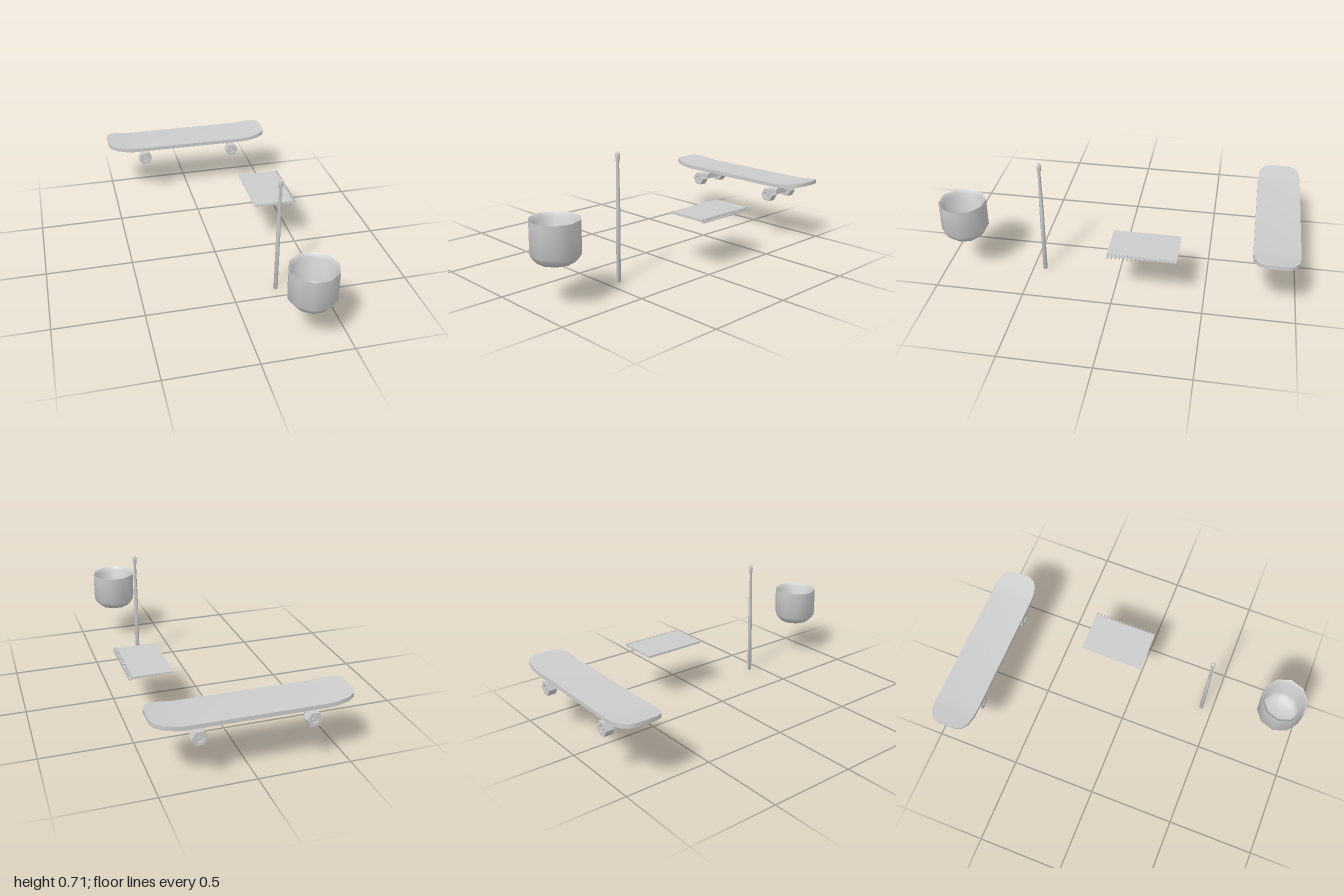
import * as THREE from 'three';
import { toCreasedNormals } from 'three/addons/utils/BufferGeometryUtils.js';

const material = new THREE.MeshStandardMaterial({ color: 0xcccccc, side: THREE.DoubleSide });

function add(parent, name, geometry, x = 0, y = 0, z = 0) {
  const mesh = new THREE.Mesh(geometry, material);
  mesh.name = name;
  mesh.position.set(x, y, z);
  parent.add(mesh);
  return mesh;
}

function group(parent, name, x = 0, y = 0, z = 0) {
  const g = new THREE.Group();
  g.name = name;
  g.position.set(x, y, z);
  parent.add(g);
  return g;
}

// Turned solid with a corner of the polygon on the x axis
function lathe(profile, sides, crease) {
  const points = profile.map(([r, y]) => new THREE.Vector2(r, y));
  return toCreasedNormals(new THREE.LatheGeometry(points, sides, Math.PI / 2), crease);
}

// Profile in (z, y), extruded symmetrically along x
function extrudeX(points, depth) {
  const shape = new THREE.Shape(points.map(([u, y]) => new THREE.Vector2(u, y)));
  const g = new THREE.ExtrudeGeometry(shape, { depth, bevelEnabled: false });
  g.translate(0, 0, -depth / 2);
  return g.rotateY(Math.PI / 2);
}

// Deck: rectangular sections along x, narrowing and rising at both ends
function deckGeometry() {
  const end = [[0.52, 0.055, 0.022], [0.505, 0.09, 0.0195], [0.468, 0.114, 0.014],
    [0.41, 0.1237, 0.005], [0.365, 0.1237, 0]];
  const stations = [...end.map(([x, w, l]) => [-x, w, l]), ...end.slice().reverse()];
  const sections = stations.map(([x, w, lift]) => [
    [x, 0.334 + lift, -w], [x, 0.334 + lift, w], [x, 0.357 + lift, w], [x, 0.357 + lift, -w],
  ]);
  const pos = [];
  const quad = (a, b, c, d) => pos.push(...a, ...b, ...c, ...a, ...c, ...d);
  for (let i = 0; i < sections.length - 1; i++) {
    const s = sections[i], t = sections[i + 1];
    for (let k = 0; k < 4; k++) {
      const n = (k + 1) % 4;
      quad(s[k], t[k], t[n], s[n]);
    }
  }
  const first = sections[0], last = sections[sections.length - 1];
  quad(first[0], first[1], first[2], first[3]);
  quad(last[3], last[2], last[1], last[0]);
  const g = new THREE.BufferGeometry();
  g.setAttribute('position', new THREE.Float32BufferAttribute(pos, 3));
  return toCreasedNormals(g, 0.6);
}

function buildSkateboard(root) {
  const board = group(root, 'skateboard', 0, 0, -0.8715);
  board.rotation.y = -0.009;
  add(board, 'deck', deckGeometry());

  // Six-sided wheel with a recessed hub and axle nut on the outer face
  const wheelGeometry = lathe([[0, -0.024], [0.042, -0.024], [0.042, 0.024], [0.021, 0.024],
    [0.019, 0.017], [0.011, 0.017], [0.011, 0.024], [0, 0.024]], 6, 0.5).rotateX(Math.PI / 2);
  const hangerGeometry = extrudeX([[-0.07, 0.263], [0.07, 0.263], [0.07, 0.283], [0.045, 0.286],
    [0.02, 0.306], [0.02, 0.32], [-0.02, 0.32], [-0.02, 0.306], [-0.045, 0.286], [-0.07, 0.283]], 0.028);

  // Mounting plate, tapering downwards
  const plateGeometry = new THREE.BoxGeometry(0.14, 0.016, 0.09);
  const p = plateGeometry.attributes.position;
  for (let i = 0; i < p.count; i++) {
    if (p.getY(i) < 0) p.setXYZ(i, p.getX(i) * 0.84, p.getY(i), p.getZ(i) * 0.84);
  }
  plateGeometry.computeVertexNormals();

  for (const side of [-1, 1]) {
    const truck = group(board, side < 0 ? 'rightTruck' : 'leftTruck', side * 0.291, 0, 0);
    add(truck, 'mountingPlate', plateGeometry, 0, 0.326, 0);
    add(truck, 'hanger', hangerGeometry);
    const axle = new THREE.CylinderGeometry(0.009, 0.009, 0.19, 6).rotateX(Math.PI / 2);
    add(truck, 'axle', axle, 0, 0.273, 0);
    for (const end of [-1, 1]) {
      const wheel = add(truck, end < 0 ? 'backWheel' : 'frontWheel', wheelGeometry, 0, 0.273, end * 0.092);
      if (end < 0) wheel.rotation.y = Math.PI;
    }
  }
}

function buildNotebook(root) {
  const book = group(root, 'notebook', 0.352, 0.301, -0.163);
  add(book, 'pages', new THREE.BoxGeometry(0.226, 0.009, 0.37));
  for (const side of [-1, 1]) {
    add(book, side < 0 ? 'backCover' : 'frontCover',
      new THREE.BoxGeometry(0.234, 0.002, 0.376), 0, side * 0.0055, 0);
  }
  // Wire binding along the left edge
  const ring = new THREE.TorusGeometry(0.0105, 0.0035, 5, 10);
  const count = 18;
  for (let i = 0; i < count; i++) {
    add(book, 'bindingRing', ring, 0.119, 0, (i / (count - 1) - 0.5) * 0.366);
  }
}

export function createModel() {
  const root = new THREE.Group();
  root.name = 'hobbyItems';

  buildSkateboard(root);
  buildNotebook(root);

  // Upright drumstick with a narrowed neck and rounded tip
  add(root, 'drumstick', lathe([[0, 0], [0.008, 0.001], [0.012, 0.008], [0.012, 0.4], [0.008, 0.645],
    [0.011, 0.662], [0.0125, 0.682], [0.0115, 0.697], [0.007, 0.704], [0, 0.706]], 10, 0.9), 0.248, 0, 0.432);

  // Ten-sided cup with a hollow, bevelled rim
  add(root, 'cup', lathe([[0, 0.238], [0.095, 0.238], [0.115, 0.259], [0.131, 0.284], [0.131, 0.451],
    [0.113, 0.431], [0.113, 0.29], [0.1, 0.268], [0.08, 0.256], [0, 0.254]], 10, 0.95), 0.294, 0, 0.8715);

  return root;
}
